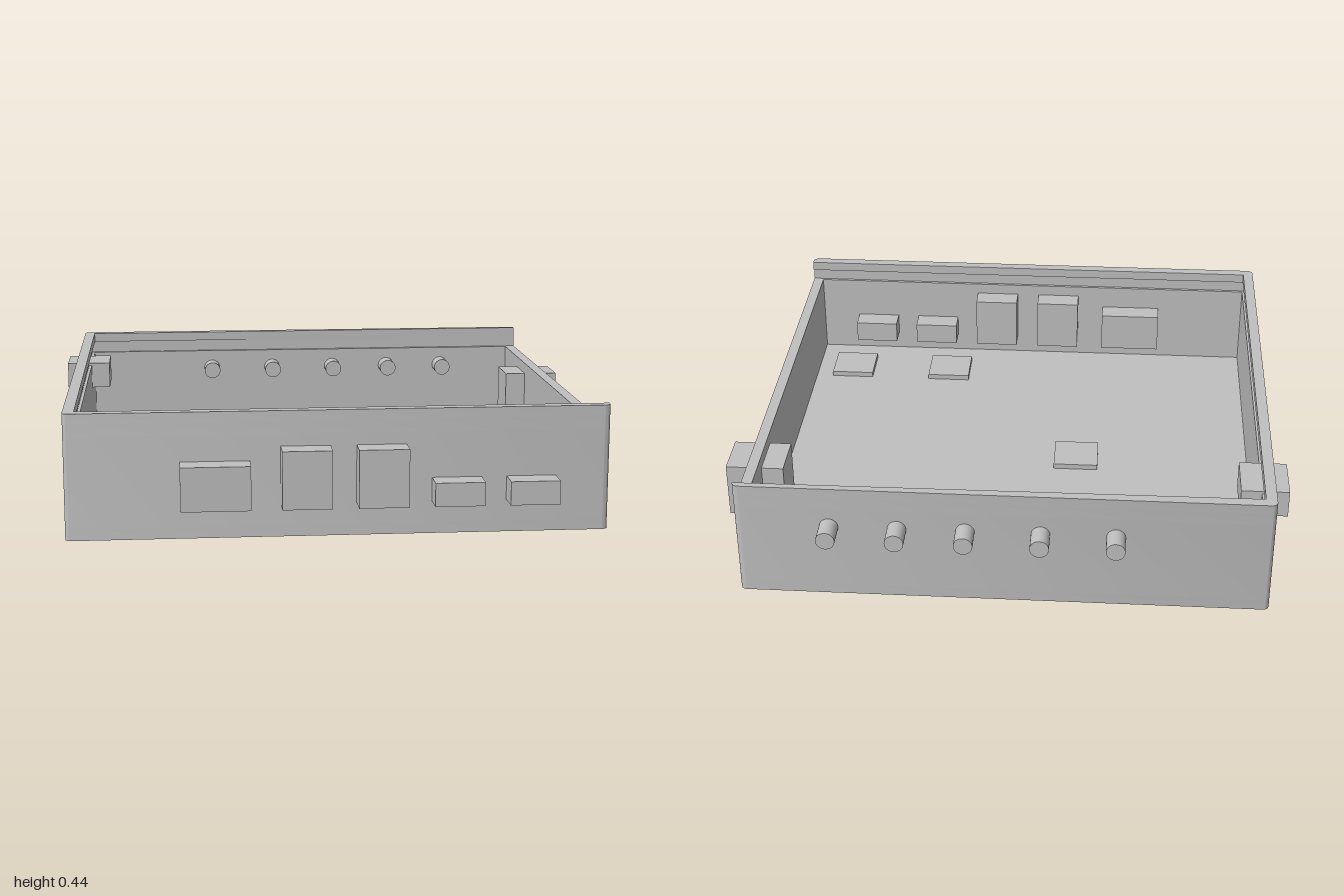
import * as THREE from 'three';
import { toCreasedNormals } from 'three/addons/utils/BufferGeometryUtils.js';

const X0 = -0.943, X1 = 0.91, Z = 0.877, R = 0.022; // outer case footprint
const WALL = 0.039, FLOOR = 0.04, RAIL = 0.355, LIP = 0.4, TOP = 0.435;

// Rounded footprint of the case
function footprint() {
  const s = new THREE.Shape();
  s.absarc(X1 - R, -Z + R, R, -Math.PI / 2, 0);
  s.absarc(X1 - R, Z - R, R, 0, Math.PI / 2);
  s.absarc(X0 + R, Z - R, R, Math.PI / 2, Math.PI);
  s.absarc(X0 + R, -Z + R, R, Math.PI, Math.PI * 1.5);
  return s;
}

// Closed ring of walls
function ring(t) {
  const s = footprint();
  s.holes.push(new THREE.Path([
    [X0 + t, -Z + t], [X0 + t, Z - t], [X1 - t, Z - t], [X1 - t, -Z + t],
  ].map(([x, y]) => new THREE.Vector2(x, y))));
  return s;
}

// Three-sided wall, open towards +x so a lid can slide in
function openRing(t) {
  const s = new THREE.Shape();
  s.moveTo(X1, Z - t);
  s.absarc(X1 - R, Z - R, R, 0, Math.PI / 2);
  s.absarc(X0 + R, Z - R, R, Math.PI / 2, Math.PI);
  s.absarc(X0 + R, -Z + R, R, Math.PI, Math.PI * 1.5);
  s.absarc(X1 - R, -Z + R, R, -Math.PI / 2, 0);
  s.lineTo(X1, -Z + t);
  s.lineTo(X0 + t, -Z + t);
  s.lineTo(X0 + t, Z - t);
  return s;
}

export function createModel() {
  const model = new THREE.Group();
  model.name = 'electronicsCase';
  const grey = new THREE.MeshStandardMaterial({ color: 0xbfbfbf });
  grey.name = 'grey';

  const add = (name, geometry, x = 0, y = 0, z = 0) => {
    const mesh = new THREE.Mesh(geometry, grey);
    mesh.name = name;
    mesh.position.set(x, y, z);
    model.add(mesh);
    return mesh;
  };
  const layer = (name, shape, y0, y1) => {
    const g = new THREE.ExtrudeGeometry(shape, { depth: y1 - y0, bevelEnabled: false, curveSegments: 6 });
    g.rotateX(-Math.PI / 2);
    add(name, toCreasedNormals(g, 0.6), 0, y0, 0);
  };
  const block = (name, x0, x1, y0, y1, z0, z1) =>
    add(name, new THREE.BoxGeometry(x1 - x0, y1 - y0, z1 - z0), (x0 + x1) / 2, (y0 + y1) / 2, (z0 + z1) / 2);

  // Case: floor, walls, lid groove and overhanging lip
  layer('floor', footprint(), 0, FLOOR);
  layer('walls', ring(WALL), FLOOR, RAIL);
  layer('lidGroove', openRing(WALL - 0.011), RAIL, LIP);
  layer('lidLip', openRing(WALL), LIP, TOP);

  // Front connectors: x range and top height
  [[-0.556, -0.32, 0.265], [-0.217, -0.048, 0.313], [0.04, 0.21, 0.313],
    [0.297, 0.467, 0.195], [0.553, 0.722, 0.195]].forEach(([x0, x1, y1], i) =>
    block('frontConnector' + (i + 1), x0, x1, 0.113, y1, 0.755, 0.963));

  // Side connectors
  block('rightConnector', -1, -0.832, 0.265, 0.365, -0.687, -0.505);
  block('leftConnector', 0.793, 1, 0.113, 0.313, -0.575, -0.405);

  // Round pins through the back wall
  [-0.405, -0.147, 0.112, 0.347, 0.582].forEach((x, i) => {
    const pin = add('backPin' + (i + 1), new THREE.CylinderGeometry(0.033, 0.033, 0.2, 32), x, 0.281, -0.864);
    pin.rotation.x = Math.PI / 2;
  });

  // Flat pads on the floor
  [[-0.65, -0.76], [0.72, -0.76], [-0.242, -0.004], [0.315, 0.653], [0.72, 0.653]].forEach(([x, z], i) =>
    block('floorPad' + (i + 1), x - 0.084, x + 0.084, FLOOR, 0.06, z - 0.083, z + 0.083));

  return model;
}
